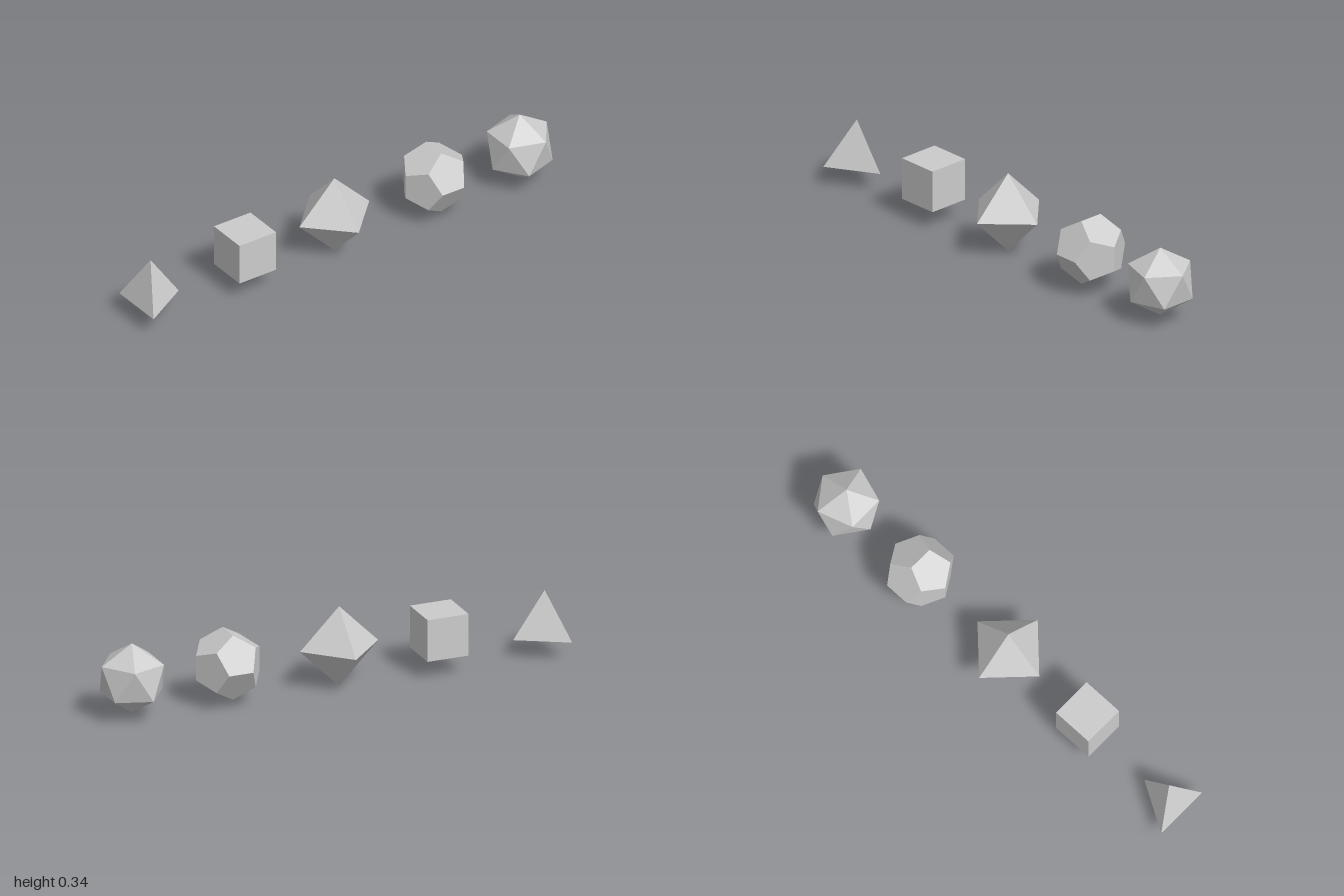
import * as THREE from 'three';

// Five regular solids in a row along x, all flat-shaded.
export function createModel() {
  const group = new THREE.Group();
  const material = new THREE.MeshStandardMaterial({ color: 0xcccccc, flatShading: true });

  const add = (name, geometry, x, y, z = 0) => {
    const mesh = new THREE.Mesh(geometry, material);
    mesh.name = name;
    mesh.position.set(x, y, z);
    group.add(mesh);
  };

  // Tetrahedron: three-sided cone resting on a face, one base corner towards +x
  const edge = 0.239;
  const baseRadius = edge / Math.sqrt(3);
  const height = edge * Math.sqrt(2 / 3);
  const tetrahedron = new THREE.ConeGeometry(baseRadius, height, 3, 1, false, Math.PI / 2);
  add('tetrahedron', tetrahedron, -1 + baseRadius / 2, 0.082 + height / 2, -0.007);

  // Cube
  add('cube', new THREE.BoxGeometry(0.179, 0.179, 0.179), -0.473, 0.17);

  // Octahedron standing on a corner
  add('octahedron', new THREE.OctahedronGeometry(0.171), -0.035, 0.171);

  // Dodecahedron with its top edge running along z
  const dodecahedron = new THREE.DodecahedronGeometry(0.148).rotateY(Math.PI / 2);
  add('dodecahedron', dodecahedron, 0.452, 0.171);

  // Icosahedron standing on a corner, an upper ring corner towards +x
  const golden = (1 + Math.sqrt(5)) / 2;
  const icosahedron = new THREE.IcosahedronGeometry(0.148).rotateZ(-Math.atan(1 / golden));
  add('icosahedron', icosahedron, 0.8676, 0.17, 0.008);

  return group;
}
